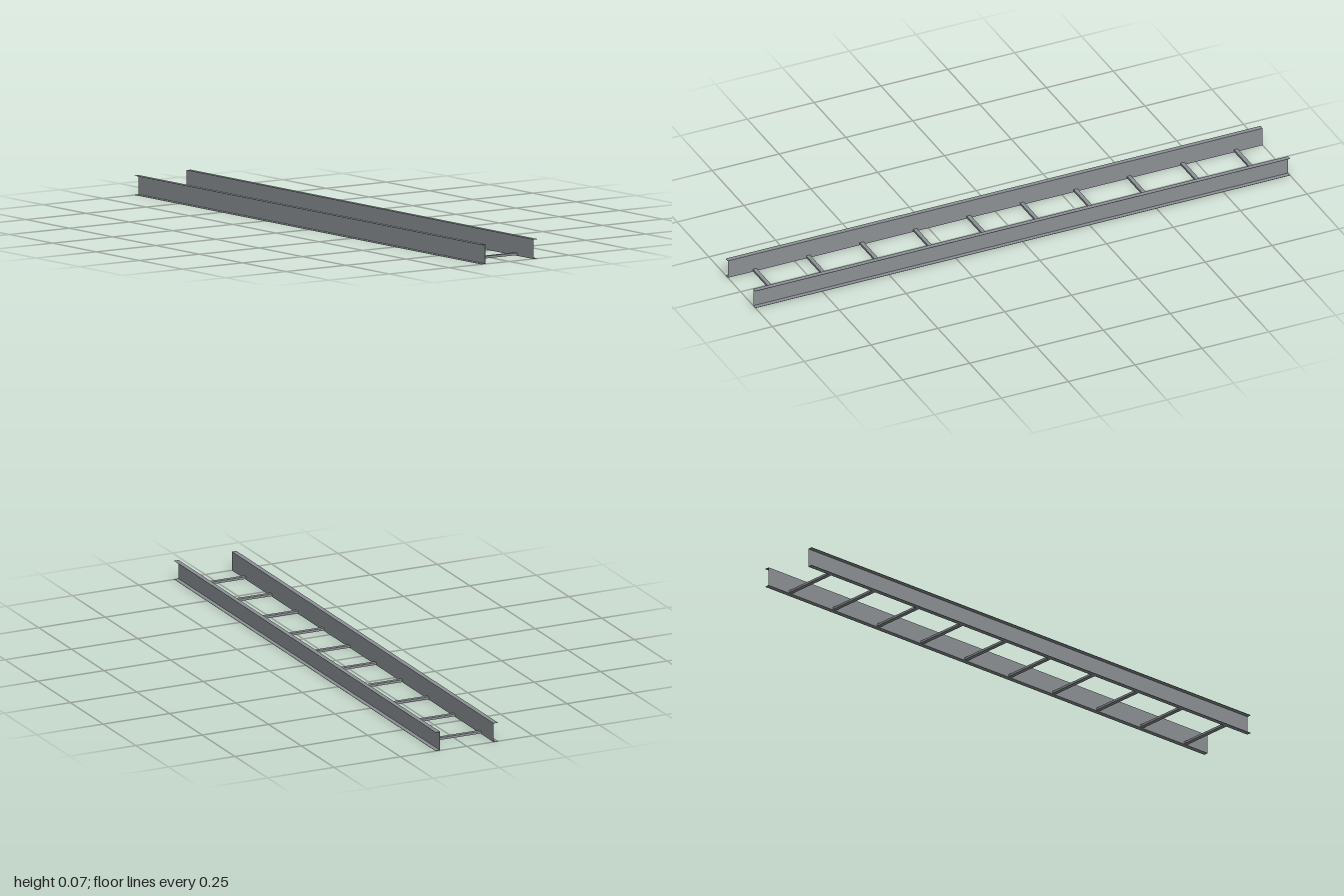
import * as THREE from 'three';

const LENGTH = 2, HEIGHT = 0.067, WEB_Z = 0.1, FLANGE = 0.017, SHEET = 0.001;

// C-shaped side rail, extruded along x, flanges pointing outward (+z)
function railGeometry() {
  const s = new THREE.Shape([
    [0, 0], [FLANGE, 0], [FLANGE, SHEET], [SHEET, SHEET],
    [SHEET, HEIGHT - SHEET], [FLANGE, HEIGHT - SHEET], [FLANGE, HEIGHT], [0, HEIGHT],
  ].map(([x, y]) => new THREE.Vector2(x, y)));
  const g = new THREE.ExtrudeGeometry(s, { depth: LENGTH, bevelEnabled: false });
  g.translate(0, 0, -LENGTH / 2);
  g.rotateY(-Math.PI / 2); // profile x becomes z
  return g.translate(0, 0, WEB_Z);
}

export function createModel() {
  const steel = new THREE.MeshStandardMaterial({ color: 0x8c9195 });
  steel.name = 'galvanised steel';
  const model = new THREE.Group();
  model.name = 'cableLadder';

  // Two facing side rails
  const rail = railGeometry();
  const front = new THREE.Mesh(rail, steel);
  front.name = 'frontRail';
  const back = new THREE.Mesh(rail, steel);
  back.name = 'backRail';
  back.rotation.y = Math.PI;
  model.add(front, back);

  // Ten evenly spaced rungs near the bottom of the rails
  const rungGeometry = new THREE.BoxGeometry(0.014, 0.008, WEB_Z * 2);
  for (let i = 0; i < 10; i++) {
    const rung = new THREE.Mesh(rungGeometry, steel);
    rung.name = `rung${i + 1}`;
    rung.position.set(-0.9 + i * 0.2, 0.006, 0);
    model.add(rung);
  }
  return model;
}
